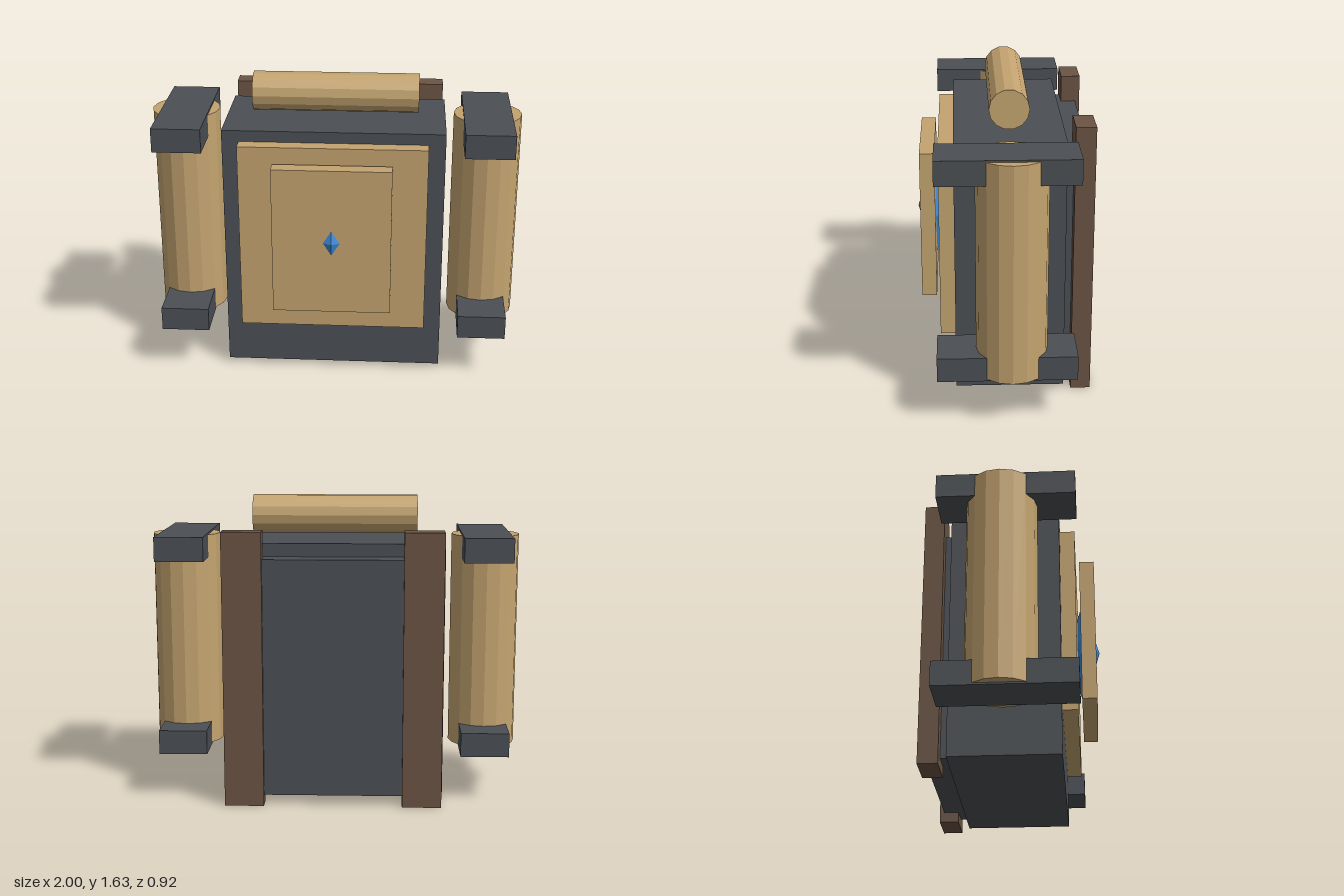
import * as THREE from 'three';

const mat = (color) => new THREE.MeshStandardMaterial({ color, flatShading: true });

export function createModel() {
  const model = new THREE.Group();
  const dark = mat(0x4b4f54), tan = mat(0xc4a470), brown = mat(0x6b5444), blue = mat(0x3d8ad8);

  const add = (name, geometry, material, x, y, z) => {
    const mesh = new THREE.Mesh(geometry, material);
    mesh.name = name;
    mesh.position.set(x, y, z);
    model.add(mesh);
    return mesh;
  };

  // Box given by its extents on each axis
  const box = (name, material, [x0, x1], [y0, y1], [z0, z1]) =>
    add(name, new THREE.BoxGeometry(x1 - x0, y1 - y0, z1 - z0), material,
      (x0 + x1) / 2, (y0 + y1) / 2, (z0 + z1) / 2);

  // Main pack and its panels
  box('body', dark, [-0.59, 0.59], [0.03, 1.4], [-0.315, 0.26]);
  box('backPanel', dark, [-0.5, 0.5], [0.055, 1.33], [-0.435, -0.315]);
  box('frontPanel', tan, [-0.5, 0.5], [0.3, 1.34], [0.26, 0.34]);
  box('frontPlate', tan, [-0.315, 0.315], [0.44, 1.255], [0.36, 0.44]);

  // Faceted gem poking through the front plate
  add('gem', new THREE.OctahedronGeometry(1), blue, 0, 0.845, 0.37).scale.set(0.2, 0.315, 0.09);

  // Bedroll lying across the top
  add('topRoll', new THREE.CylinderGeometry(0.105, 0.105, 0.89, 14), tan, 0, 1.53, -0.027)
    .rotation.z = Math.PI / 2;

  for (const [side, s] of [['left', 1], ['right', -1]]) {
    const span = (a, b) => (s > 0 ? [a, b] : [-b, -a]);
    // Back strap
    box(side + 'Strap', brown, span(0.37, 0.58), [0, 1.475], [-0.46, -0.355]);
    // Side canister held by two clamps
    add(side + 'Canister', new THREE.CylinderGeometry(0.183, 0.183, 1.16, 16), tan, s * 0.817, 0.845, -0.027);
    box(side + 'LowerClamp', dark, span(0.685, 0.945), [0.255, 0.385], [-0.358, 0.355]);
    box(side + 'UpperClamp', dark, span(0.685, 0.945), [1.305, 1.435], [-0.358, 0.355]);
  }
  return model;
}
